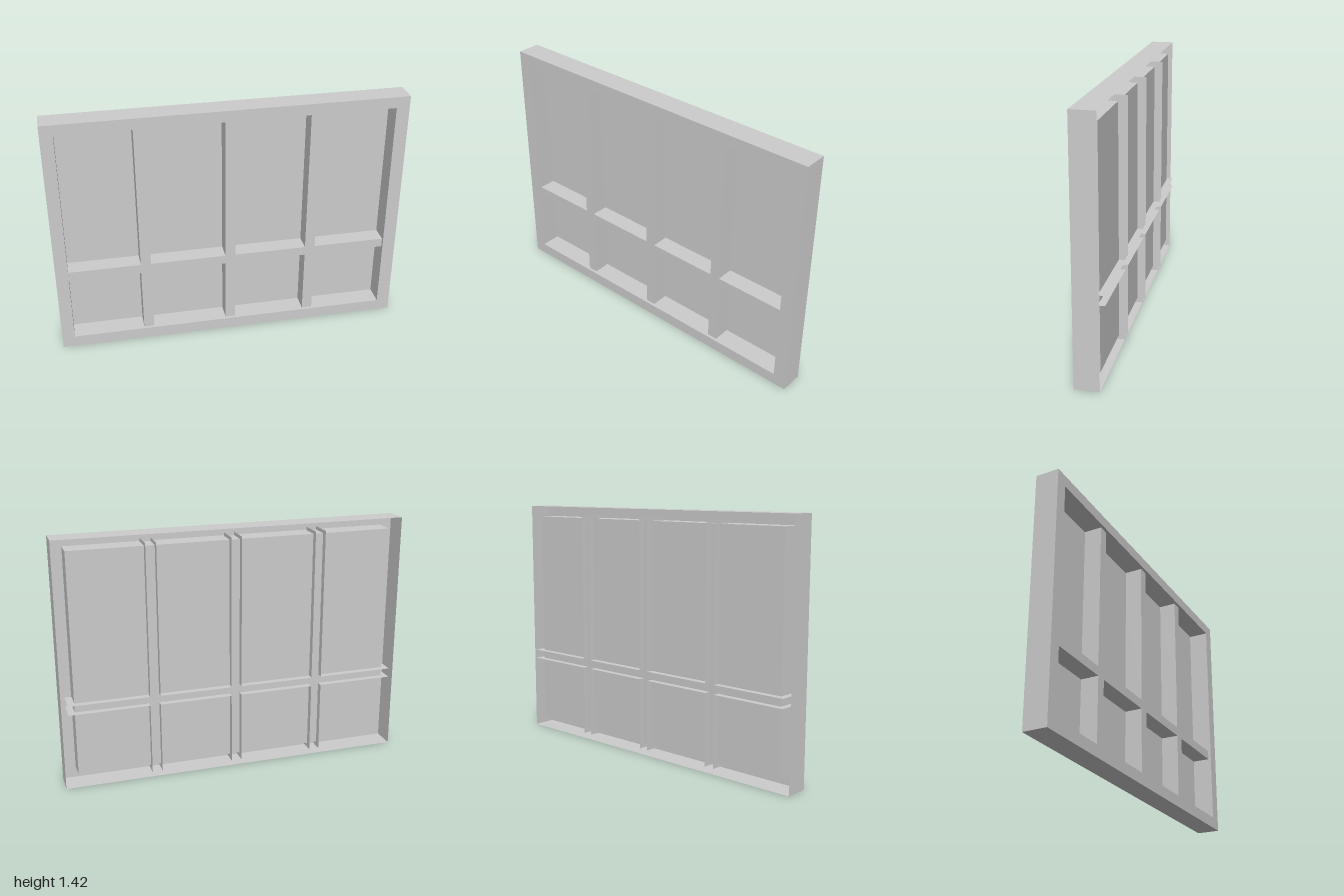
import * as THREE from 'three';

const mat = new THREE.MeshStandardMaterial({ color: 0xcccccc, side: THREE.DoubleSide, flatShading: true });

// Depths, front to back
const FRONT = 0.079, BAR_FRONT = 0.062, PANE = -0.04, FRAME_BACK = -0.055, BAR_BACK = -0.077;
// Rectangles as [x0, y0, x1, y1]
const OUTER = [-1, 0, 1, 1.42];
const OPENING = [-0.929, 0.067, 0.925, 1.356];
const GRID = [-0.964, 0.04, 0.964, 1.376];
// Mullion and transom edges
const MULLIONS = [[-0.519, -0.46], [-0.027, 0.032], [0.449, 0.508]];
const TRANSOM = [0.452, 0.505];

function add(group, name, geometry) {
  const mesh = new THREE.Mesh(geometry, mat);
  mesh.name = name;
  group.add(mesh);
  return mesh;
}

// Sheet facing +z
function face(group, name, x0, y0, x1, y1, z) {
  add(group, name, new THREE.PlaneGeometry(x1 - x0, y1 - y0))
    .position.set((x0 + x1) / 2, (y0 + y1) / 2, z);
}

// Upright sheet at constant x
function sideSheet(group, name, x, y0, y1, zBack, zFront) {
  const g = new THREE.PlaneGeometry(zFront - zBack, y1 - y0).rotateY(Math.PI / 2);
  add(group, name, g).position.set(x, (y0 + y1) / 2, (zBack + zFront) / 2);
}

// Level sheet at constant y
function levelSheet(group, name, y, x0, x1, zBack, zFront) {
  const g = new THREE.PlaneGeometry(x1 - x0, zFront - zBack).rotateX(-Math.PI / 2);
  add(group, name, g).position.set((x0 + x1) / 2, y, (zBack + zFront) / 2);
}

// Open rectangular tube made of four sheets
function walls(group, name, [x0, y0, x1, y1], zBack, zFront) {
  for (const x of [x0, x1]) sideSheet(group, name, x, y0, y1, zBack, zFront);
  for (const y of [y0, y1]) levelSheet(group, name, y, x0, x1, zBack, zFront);
}

function rectangle(target, [x0, y0, x1, y1]) {
  target.moveTo(x0, y0).lineTo(x1, y0).lineTo(x1, y1).lineTo(x0, y1).closePath();
  return target;
}

export function createModel() {
  const model = new THREE.Group();
  model.name = 'window';

  // Hollow frame, open at the back: outer walls, front ring and reveals
  const frame = new THREE.Group();
  frame.name = 'frame';
  walls(frame, 'frameOuterWall', OUTER, FRAME_BACK, FRONT);
  walls(frame, 'frameReveal', OPENING, PANE, FRONT);
  const ring = rectangle(new THREE.Shape(), OUTER);
  ring.holes.push(rectangle(new THREE.Path(), OPENING));
  add(frame, 'frameFront', new THREE.ShapeGeometry(ring)).position.z = FRONT;
  model.add(frame);

  // Pane closing the opening
  face(model, 'pane', ...OPENING, PANE);

  // Glazing bars: open channels whose sides run through the pane
  const bars = new THREE.Group();
  bars.name = 'glazingBars';
  for (const [x0, x1] of MULLIONS) {
    face(bars, 'mullionFront', x0, GRID[1], x1, GRID[3], BAR_FRONT);
    for (const x of [x0, x1]) {
      sideSheet(bars, 'mullionSide', x, GRID[1], TRANSOM[0], BAR_BACK, BAR_FRONT);
      sideSheet(bars, 'mullionSide', x, TRANSOM[1], GRID[3], BAR_BACK, BAR_FRONT);
    }
  }
  // Transom stretches between the mullions
  const stops = [GRID[0], ...MULLIONS.flat(), GRID[2]];
  for (let i = 0; i < stops.length; i += 2) {
    face(bars, 'transomFront', stops[i], TRANSOM[0], stops[i + 1], TRANSOM[1], BAR_FRONT);
    for (const y of TRANSOM) levelSheet(bars, 'transomSide', y, stops[i], stops[i + 1], BAR_BACK, BAR_FRONT);
  }
  model.add(bars);

  return model;
}
